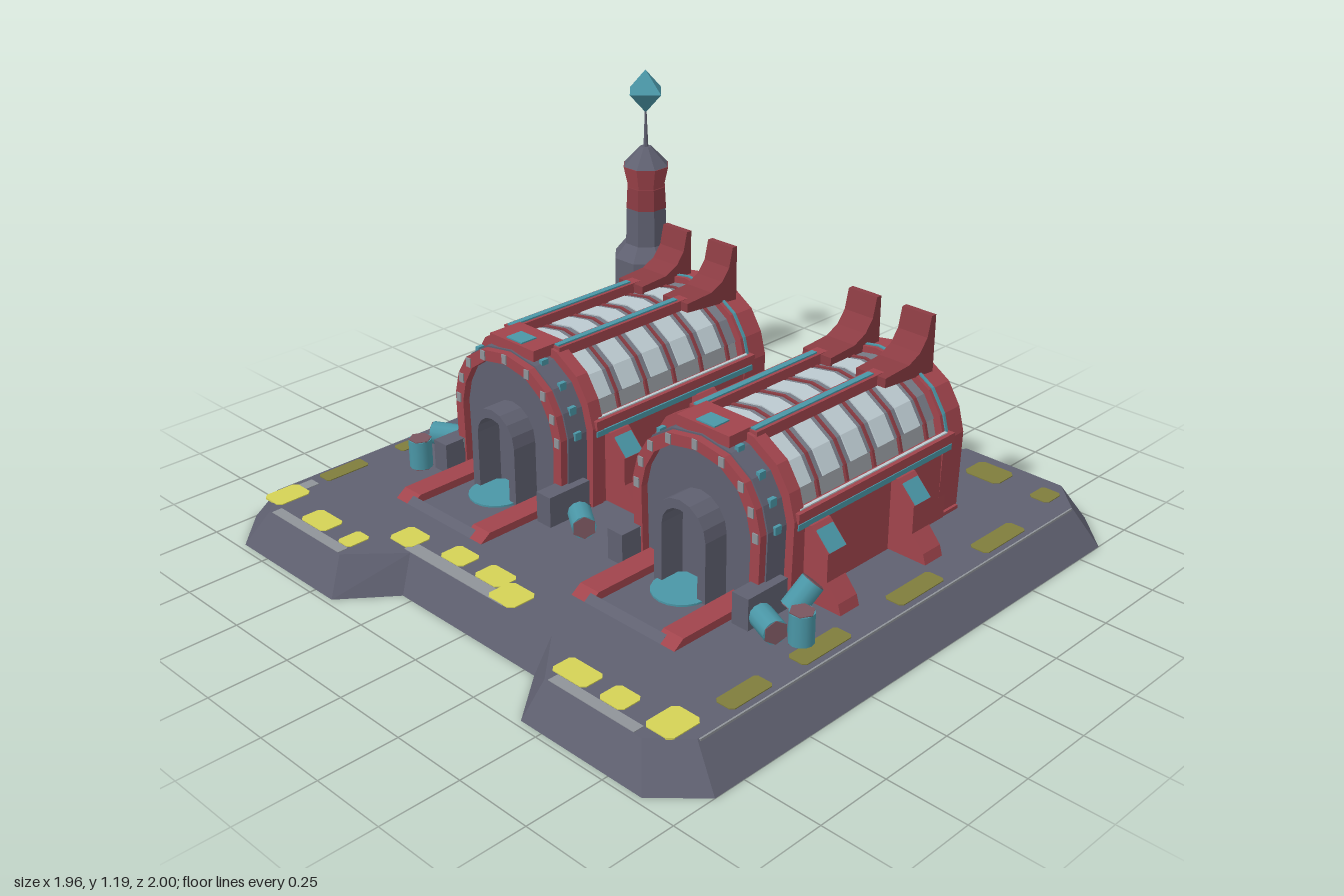
import * as THREE from 'three';

const mat = (name, color, side = THREE.FrontSide) => {
  const m = new THREE.MeshStandardMaterial({ color, side });
  m.name = name;
  return m;
};
const M = {
  grey: mat('slate', 0x5f6070, THREE.DoubleSide),
  light: mat('worn grey', 0x8f9399),
  smoke: mat('smoky glass', 0x767a85),
  pale: mat('pale glass', 0xbccad0),
  red: mat('red paint', 0xa0444c),
  darkRed: mat('dark red paint', 0x8a3b42),
  teal: mat('teal', 0x4a96a6),
  yellow: mat('yellow marking', 0xd4d256),
  olive: mat('faded marking', 0x7f7d3c),
  cap: mat('dusty red', 0x7a565f),
};
const TOP = 0.115;
const FLOOR = TOP + 0.002; // underside of parts resting on the deck

function add(parent, name, geo, material, x = 0, y = 0, z = 0) {
  const m = new THREE.Mesh(geo, material);
  m.name = name;
  m.position.set(x, y, z);
  parent.add(m);
  return m;
}
// Box given by its centre and size
const box = (p, name, m, x, y, z, w, h, d) => add(p, name, new THREE.BoxGeometry(w, h, d), m, x, y, z);
const facet = (g) => {
  const f = g.toNonIndexed();
  f.computeVertexNormals();
  return f;
};
const outline = (pts) => new THREE.Shape(pts.map((p) => new THREE.Vector2(...p)));
const extrude = (shape, depth) => new THREE.ExtrudeGeometry(shape, { depth, bevelEnabled: false });
// Extrude a (z, y) outline along x
const extrudeX = (pts, x0, x1) =>
  extrude(outline(pts.map(([z, y]) => [-z, y])), x1 - x0).rotateY(Math.PI / 2).translate(x0, 0, 0);

// Arch section shrunk by "off"; "from" skips the lower wall points
const ARCH = [[0.265, FLOOR], [0.272, 0.38], [0.25, 0.46], [0.205, 0.53], [0.12, 0.583], [0, 0.602]];
function archPoints(off, from = 0) {
  const half = ARCH.slice(from).map(([z, y]) => [z * (1 - off / 0.27), FLOOR + (y - FLOOR) * (1 - off / 0.485)]);
  return [...half, ...half.slice(0, -1).reverse().map(([z, y]) => [-z, y])];
}
const archBand = (outer, inner, x0, x1, from = 0) =>
  extrudeX([...archPoints(outer, from), ...archPoints(inner, from).reverse()], x0, x1);

// Hollow platform with sloping rim and notched sides
function platform(root) {
  const loop = (q) => {
    const out = [];
    [[1, -1], [1, 1], [-1, 1], [-1, -1]].forEach(([sx, sz]) => {
      const part = q.map(([x, z]) => [x * sx, z * sz]);
      out.push(...(sx * sz < 0 ? part.reverse() : part));
    });
    return out;
  };
  const low = loop([[0.82, 0.29], [0.98, 0.42], [0.98, 0.87], [0.855, 1]]);
  const high = loop([[0.77, 0.31], [0.92, 0.45], [0.92, 0.81], [0.825, 0.91]]);
  const v = [];
  low.forEach((p, i) => {
    const j = (i + 1) % low.length;
    const a0 = [p[0], 0, p[1]], a1 = [low[j][0], 0, low[j][1]];
    const b0 = [high[i][0], TOP, high[i][1]], b1 = [high[j][0], TOP, high[j][1]];
    v.push(...a0, ...b0, ...a1, ...a1, ...b0, ...b1);
  });
  const rim = new THREE.BufferGeometry();
  rim.setAttribute('position', new THREE.Float32BufferAttribute(v, 3));
  rim.computeVertexNormals();
  add(root, 'platformRim', rim, M.grey);
  const deck = new THREE.ShapeGeometry(outline(high.map(([x, z]) => [x, -z])));
  add(root, 'platformDeck', deck.rotateX(-Math.PI / 2), M.grey, 0, TOP, 0);
  box(root, 'wornRim', M.light, 0, 0.11, 0.913, 1.64, 0.009, 0.006);

  // Painted edge markings with cut corners: x, z, width, depth
  const mark = (m) => ([x, z, w, d]) => {
    const a = w / 2, b = d / 2, c = Math.min(a, b) * 0.3;
    const s = outline([[a, c - b], [a, b - c], [a - c, b], [c - a, b], [-a, b - c], [-a, c - b], [c - a, -b], [a - c, -b]]);
    add(root, 'deckMarking', extrude(s, 0.006).rotateX(-Math.PI / 2), m, x, TOP - 0.003, z);
  };
  [[-0.82, -0.86, 0.12, 0.085], [-0.82, 0.82, 0.12, 0.1], [-0.84, -0.65, 0.08, 0.12], [-0.84, -0.49, 0.08, 0.06],
    [-0.715, -0.38, 0.09, 0.1], [-0.68, -0.19, 0.08, 0.1], [-0.68, -0.03, 0.08, 0.11], [-0.715, 0.08, 0.1, 0.11],
    [-0.84, 0.49, 0.08, 0.13], [-0.84, 0.65, 0.08, 0.09]].forEach(mark(M.yellow));
  [[-0.6, -0.87, 0.16, 0.055], [-0.34, -0.865, 0.1, 0.05], [0.02, -0.86, 0.19, 0.05], [0.31, -0.86, 0.2, 0.05],
    [0.51, -0.865, 0.12, 0.05], [-0.6, 0.86, 0.16, 0.065], [-0.3, 0.86, 0.2, 0.065], [0.11, 0.86, 0.2, 0.065],
    [0.51, 0.86, 0.2, 0.065], [0.83, -0.6, 0.07, 0.14], [0.72, -0.36, 0.12, 0.12], [0.71, -0.19, 0.065, 0.14],
    [0.71, 0.13, 0.065, 0.12], [0.72, 0.27, 0.12, 0.14], [0.83, 0.6, 0.1, 0.13], [0.83, 0.81, 0.08, 0.07]]
    .forEach(mark(M.olive));
  [[-0.9, -0.63, 0.035, 0.34], [-0.9, 0.62, 0.035, 0.32], [-0.745, -0.12, 0.045, 0.44], [-0.74, -0.87, 0.06, 0.04]]
    .forEach(([x, z, w, d]) => box(root, 'wornEdge', M.light, x, TOP, z, w, 0.004, d));
}

// Vaulted hut, open at +x, entrance at -x
function hut() {
  const g = new THREE.Group();
  g.name = 'hut';
  // Vault: worn lower skirt, smoky upper shell, rows of clear panes between slim ribs
  add(g, 'vaultSkirt', archBand(0.025, 0.04, -0.2, 0.5, 1), M.light);
  add(g, 'vaultShell', archBand(0.021, 0.035, -0.199, 0.499, 2), M.smoke);
  for (let i = 0; i < 5; i++) {
    const x = -0.125 + i * 0.122;
    add(g, 'roofPane', archBand(0.017, 0.026, x - 0.036, x + 0.036, 2), M.pale);
    add(g, 'roofRib', archBand(0.016, 0.028, x + 0.054, x + 0.064, 1), M.darkRed);
  }
  // Frames at both ends
  add(g, 'frontCollar', archBand(-0.008, 0.04, -0.21, -0.165), M.red);
  add(g, 'rearFrame', archBand(0, 0.04, 0.47, 0.5), M.red);
  add(g, 'rearFrameLight', archBand(-0.004, 0.01, 0.482, 0.492, 1), M.teal);
  add(g, 'rearHood', archBand(0.01, 0.045, 0.5, 0.58), M.red);
  // Entrance wall, its rim and small lamps
  add(g, 'entranceBlock', extrudeX(archPoints(0.02), -0.285, -0.2), M.grey);
  add(g, 'entranceRim', archBand(0.025, 0.06, -0.31, -0.28), M.red);
  archPoints(0.042).forEach(([z, y]) => box(g, 'rimLamp', M.light, -0.31, Math.max(y, 0.2), z, 0.008, 0.03, 0.02));
  archPoints(0.02, 1).forEach(([z, y]) => box(g, 'wallLamp', M.teal, -0.25, y, z, 0.025, 0.025, 0.014));
  box(g, 'entranceCap', M.red, -0.22, 0.59, 0, 0.12, 0.035, 0.2);
  box(g, 'capLight', M.teal, -0.24, 0.608, 0, 0.06, 0.008, 0.07);

  // Arched doorway
  const portal = (r) => [[r, FLOOR],
    ...Array.from({ length: 9 }, (_, i) => [r * Math.cos(i * Math.PI / 8), 0.31 + r * Math.sin(i * Math.PI / 8)]),
    [-r, FLOOR]];
  add(g, 'doorPortal', extrudeX([...portal(0.1), ...portal(0.07).reverse()], -0.37, -0.28), M.grey);
  add(g, 'doorGlow', new THREE.CylinderGeometry(0.09, 0.09, 0.006, 20), M.teal, -0.36, 0.121, 0);

  // Ramp border
  const slope = outline([[-0.595, FLOOR], [-0.56, 0.142], [-0.28, 0.142], [-0.28, FLOOR]]);
  const lip = outline([[-0.595, FLOOR], [-0.57, 0.135], [-0.56, FLOOR]]);
  const strip = (s, w) => extrude(s, w).translate(0, 0, -w / 2);
  add(g, 'rampLip', strip(lip, 0.3), M.grey);

  const fin = outline([[0.32, 0.57], [0.32, 0.6], [0.43, 0.607], [0.48, 0.63], [0.512, 0.67], [0.528, 0.735],
    [0.548, 0.735], [0.548, 0.55]]);

  for (const s of [-1, 1]) {
    add(g, 'rampSide', strip(slope, 0.075), M.red, 0, 0, s * 0.165);
    add(g, 'rearFin', strip(fin, 0.11), M.darkRed, 0, 0, s * 0.103);
    // Side wall, gutter and roof rails
    box(g, 'sideWall', M.red, 0.15, 0.25, s * 0.258, 0.7, 0.27, 0.018);
    box(g, 'wallSill', M.red, 0.14, 0.117, s * 0.256, 0.87, 0.02, 0.018);
    box(g, 'eavesRail', M.red, 0.15, 0.393, s * 0.272, 0.7, 0.03, 0.032);
    box(g, 'eavesTrim', M.pale, 0.15, 0.409, s * 0.27, 0.66, 0.006, 0.01);
    box(g, 'eavesLight', M.teal, 0.15, 0.362, s * 0.271, 0.69, 0.018, 0.024);
    box(g, 'roofRail', M.red, 0.15, 0.585, s * 0.108, 0.7, 0.034, 0.04);
    box(g, 'roofLight', M.teal, 0.06, 0.603, s * 0.108, 0.51, 0.008, 0.02);
    box(g, 'entrancePost', M.grey, -0.305, 0.167, s * 0.245, 0.16, 0.1, 0.06);
    // Wall buttresses with lamps
    for (const x of [-0.11, 0.27]) {
      const foot = [[0.25, FLOOR], [0.405, FLOOR], [0.395, 0.15], [0.352, 0.2], [0.352, 0.29], [0.29, 0.355], [0.25, 0.355]];
      const lamp = [[0.345, 0.288], [0.3, 0.335], [0.305, 0.346], [0.356, 0.294]];
      add(g, 'buttress', extrudeX(foot.map(([z, y]) => [z * s, y]), x - 0.04, x + 0.04), M.red);
      add(g, 'buttressLamp', extrudeX(lamp.map(([z, y]) => [z * s, y]), x - 0.034, x + 0.034), M.teal);
    }
  }
  return g;
}

// Octagonal beacon tower
function tower() {
  const g = new THREE.Group();
  g.name = 'beaconTower';
  const tier = (name, m, y0, r0, y1, r1) =>
    add(g, name, facet(new THREE.CylinderGeometry(r1, r0, y1 - y0, 8).rotateY(Math.PI / 8)), m, 0, (y0 + y1) / 2, 0);
  tier('towerBase', M.red, FLOOR, 0.136, 0.28, 0.125);
  tier('towerBody', M.grey, 0.28, 0.122, 0.52, 0.118);
  tier('towerShoulder', M.grey, 0.52, 0.118, 0.57, 0.077);
  tier('towerNeck', M.grey, 0.57, 0.077, 0.7, 0.073);
  tier('towerCollar', M.darkRed, 0.7, 0.074, 0.775, 0.07);
  tier('towerCrown', M.red, 0.775, 0.066, 0.85, 0.083);
  tier('towerRoof', M.grey, 0.85, 0.081, 0.915, 0.02);
  tier('towerSpike', M.grey, 0.915, 0.009, 1.05, 0.003);
  add(g, 'beacon', new THREE.OctahedronGeometry(0.075), M.teal, 0, 1.11, 0);
  return g;
}

export function createModel() {
  const root = new THREE.Group();
  root.name = 'outpost';
  platform(root);
  for (const z of [-0.4, 0.4]) {
    const h = hut();
    h.position.z = z;
    root.add(h);
  }
  const t = tower();
  t.position.set(0.69, 0, -0.805);
  root.add(t);

  // Scattered canisters: position, then tilt about x, y, z
  [[-0.26, 0.158, -0.77, 1.57, 0.5, 0], [-0.335, 0.158, -0.04, 1.57, -0.6, 0], [-0.365, 0.158, 0.73, 1.57, -0.4, 0],
    [-0.245, 0.2, 0.745, 0.3, 0, -0.7], [-0.32, 0.165, 0.81, 0, 0, 0], [-0.41, 0.168, -0.715, 0, 0, 0]]
    .forEach(([x, y, z, rx, ry, rz]) => {
      const c = new THREE.Group();
      c.name = 'canister';
      c.position.set(x, y, z);
      c.rotation.set(rx, ry, rz, 'YXZ');
      add(c, 'canisterBody', new THREE.CylinderGeometry(0.037, 0.037, 0.095, 12), M.teal);
      for (const s of [-1, 1]) add(c, 'canisterCap', new THREE.CylinderGeometry(0.037, 0.037, 0.006, 6), M.cap, 0, s * 0.047, 0);
      root.add(c);
    });
  return root;
}
